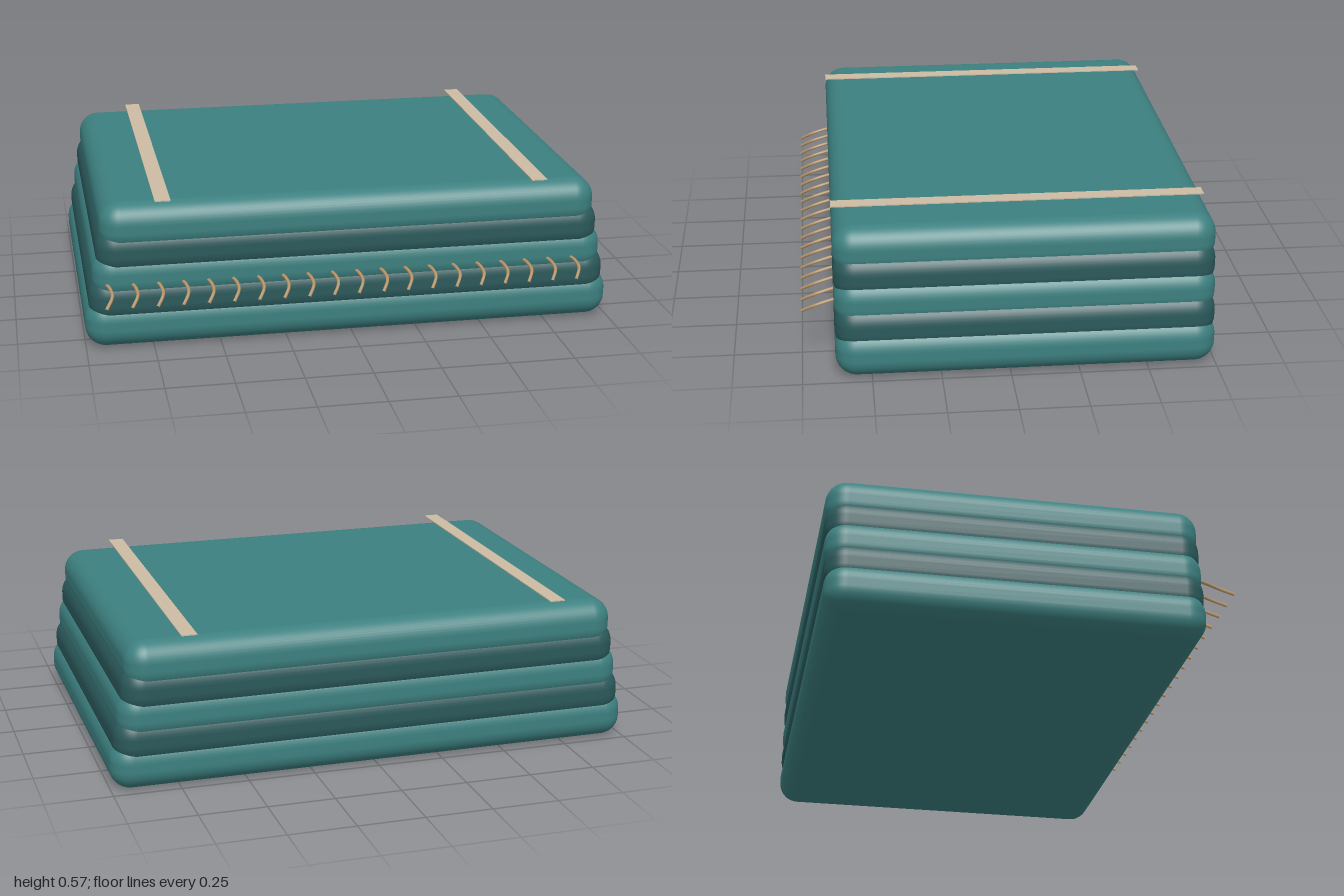
import * as THREE from 'three';
import { RoundedBoxGeometry } from 'three/addons/geometries/RoundedBoxGeometry.js';

export function createModel() {
  const root = new THREE.Group();
  root.name = 'foldedBlanket';

  const teal = new THREE.MeshStandardMaterial({ color: 0x3d8080 });
  const darkTeal = new THREE.MeshStandardMaterial({ color: 0x2b595b });
  const linen = new THREE.MeshStandardMaterial({ color: 0xcdbca3 });
  const cord = new THREE.MeshStandardMaterial({ color: 0xb8966a });

  const add = (parent, name, geometry, material, x, y, z) => {
    const mesh = new THREE.Mesh(geometry, material);
    mesh.name = name;
    mesh.position.set(x, y, z);
    parent.add(mesh);
  };

  // Overlapping soft folds, each a little narrower than the one below
  const thickness = 0.183, pitch = 0.093, depth = 1.38, centreZ = -0.06;
  for (let i = 0; i < 5; i++) {
    add(root, `foldLayer${i + 1}`,
      new RoundedBoxGeometry(2 - i * 0.032, thickness, depth, 6, 0.078),
      i % 2 ? darkTeal : teal, 0, thickness / 2 + i * pitch, centreZ);
  }

  // Two flat stripes running front to back just above the top fold
  for (const [name, side] of [['leftStripe', 1], ['rightStripe', -1]]) {
    add(root, name, new THREE.BoxGeometry(0.058, 0.004, 1.36), linen, side * 0.706, 0.57, -0.05);
  }

  // Fringe of drooping, curled tassels along the front edge
  const fringe = new THREE.Group();
  fringe.name = 'fringe';
  root.add(fringe);
  const curve = new THREE.CatmullRomCurve3([
    new THREE.Vector3(0, 0.258, 0.61),
    new THREE.Vector3(0.014, 0.252, 0.655),
    new THREE.Vector3(0.017, 0.238, 0.7),
    new THREE.Vector3(-0.008, 0.208, 0.746),
  ]);
  const tassel = new THREE.TubeGeometry(curve, 12, 0.0065, 6);
  for (let i = 0; i < 20; i++) {
    add(fringe, `tassel${i + 1}`, tassel, cord, -0.921 + i * 0.0924, 0, 0);
  }
  return root;
}
